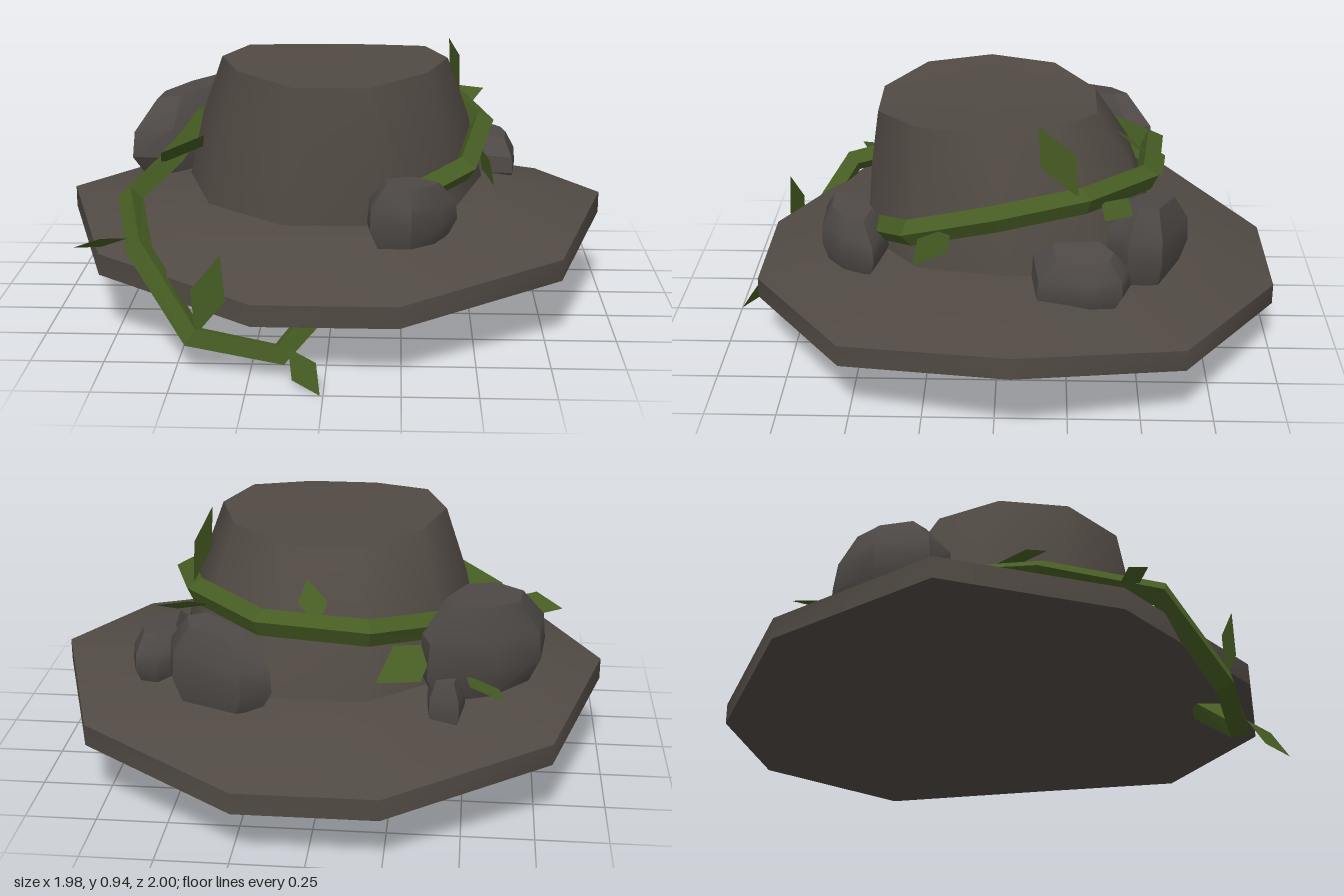
import * as THREE from 'three';
import { toCreasedNormals } from 'three/addons/utils/BufferGeometryUtils.js';
import { ConvexGeometry } from 'three/addons/geometries/ConvexGeometry.js';

const material = (name, color, extra = {}) => new THREE.MeshStandardMaterial({ name, color, ...extra });
const V = (p) => new THREE.Vector3(...p);

// Skin over ten-sided rings: [rx, rz, centreZ, y, droop, droopPower, pinch]
function ringSkin(rings, crease) {
  const N = 10, pos = [], index = [];
  for (const [rx, rz, cz, y, droop = 0, power = 1, pinch = 1] of rings) {
    for (let k = 0; k < N; k++) {
      const a = (k / N) * Math.PI * 2, c = Math.cos(a), s = Math.sin(a);
      pos.push(c * rx * (Math.abs(c) < 0.5 ? pinch : 1), y - droop * Math.abs(s) ** power, cz + s * rz);
    }
  }
  for (let r = 0; r < rings.length - 1; r++) {
    for (let k = 0; k < N; k++) {
      const a = r * N + k, b = r * N + (k + 1) % N;
      if (rings[r][0] > 0) index.push(a, a + N, b);
      if (rings[r + 1][0] > 0) index.push(b, a + N, b + N);
    }
  }
  const geo = new THREE.BufferGeometry();
  geo.setAttribute('position', new THREE.Float32BufferAttribute(pos, 3));
  geo.setIndex(index);
  return toCreasedNormals(geo, crease);
}

// Chipped stone: an outline in x,z, widest low down and narrowing to a tilted top
function stone(outline, y0, y1, tiltX = 0, tiltZ = 0) {
  const cx = outline.reduce((t, p) => t + p[0], 0) / outline.length;
  const cz = outline.reduce((t, p) => t + p[1], 0) / outline.length;
  const pts = [];
  for (const [level, size] of [[0, 0.8], [0.3, 1], [0.65, 0.96], [1, 0.6]]) {
    for (const [x, z] of outline) {
      const dx = (x - cx) * size, dz = (z - cz) * size;
      pts.push(V([cx + dx, y0 + (y1 - y0) * level + level * (dx * tiltX + dz * tiltZ), cz + dz]));
    }
  }
  return toCreasedNormals(new ConvexGeometry(pts), 0.6);
}

// Pointed leaf: a thin four-cornered blade, widest near its middle
function leaf(base, tip, side) {
  const b = V(base), t = V(tip), s = V(side);
  const m = b.clone().lerp(t, 0.5);
  const l = m.clone().add(s), r = m.clone().sub(s);
  const geo = new THREE.BufferGeometry().setFromPoints([b, l, t, b, t, r]);
  geo.computeVertexNormals();
  return geo;
}

export function createModel() {
  const group = new THREE.Group();
  const felt = material('hat brown', 0x514a44);
  const rock = material('stone grey', 0x4e4946);
  const vineGreen = material('vine green', 0x465c23, { flatShading: true });
  const leafGreen = material('leaf green', 0x465c23, { side: THREE.DoubleSide });
  const add = (name, geo, mat) => {
    const mesh = new THREE.Mesh(geo, mat);
    mesh.name = name;
    group.add(mesh);
  };

  // Brim, drooping to the front and back
  add('brim', ringSkin([
    [0, 0, -0.06, 0.305],
    [0.99, 0.99, -0.06, 0.305, 0.121, 1, 0.79],
    [0.99, 0.99, -0.06, 0.382, 0.123, 1, 0.79],
    [0.56, 0.56, -0.05, 0.445, 0.04],
    [0, 0, -0.05, 0.445],
  ], 0.7), felt);

  // Crown, leaning forward, with a shallow dip in the top
  add('crown', ringSkin([
    [0.55, 0.555, -0.05, 0.43, 0.04],
    [0.49, 0.49, -0.01, 0.69],
    [0.41, 0.41, 0.04, 0.912, 0.035, 4],
    [0, 0, 0.04, 0.888],
  ], 0.7), felt);

  // Stones resting on the brim
  add('largeStone', stone([[-0.78, -0.12], [-0.76, -0.32], [-0.6, -0.5], [-0.37, -0.59],
    [-0.34, -0.5], [-0.45, -0.22], [-0.62, -0.08]], 0.4, 0.72, 0.2, 0), rock);
  add('backStone', stone([[0.15, -0.63], [0.25, -0.68], [0.5, -0.57], [0.53, -0.45],
    [0.43, -0.38], [0.22, -0.52]], 0.38, 0.65, 0.1, 0.1), rock);
  add('sideStone', stone([[0.48, -0.38], [0.58, -0.46], [0.66, -0.43], [0.69, -0.32],
    [0.67, -0.14], [0.5, -0.12]], 0.38, 0.56, -0.2, 0), rock);
  add('frontStone', stone([[0.13, 0.53], [0.14, 0.63], [0.28, 0.63], [0.38, 0.55],
    [0.44, 0.43], [0.29, 0.39]], 0.37, 0.58, -0.15, 0), rock);
  add('smallStone', stone([[-0.48, -0.62], [-0.38, -0.6], [-0.37, -0.5], [-0.5, -0.5]], 0.33, 0.5), rock);

  // Vine winding round the crown and hanging off the front of the brim
  const path = new THREE.CatmullRomCurve3([
    [0.28, 0.5, 0.42], [0.47, 0.57, 0.3], [0.54, 0.66, 0], [0.45, 0.69, -0.3],
    [0.2, 0.67, -0.53], [-0.17, 0.66, -0.57], [-0.4, 0.64, -0.42], [-0.53, 0.62, -0.2],
    [-0.62, 0.5, -0.04], [-0.73, 0.43, 0.24], [-0.64, 0.36, 0.62], [-0.44, 0.12, 0.8],
    [-0.15, 0.075, 0.83], [0, 0.22, 0.7],
  ].map(V));
  path.getUtoTmapping = (u) => u;
  add('vine', new THREE.TubeGeometry(path, path.points.length - 1, 0.046, 4), vineGreen);

  // Leaves: base, tip, half-width vector
  [
    [[-0.12, 0.11, 0.86], [-0.01, 0.005, 1], [0.04, 0.035, 0.01]],
    [[-0.43, 0.13, 0.81], [-0.34, 0.42, 0.84], [0.06, -0.01, 0.02]],
    [[-0.69, 0.38, 0.56], [-0.88, 0.34, 0.545], [0.01, 0.03, 0.045]],
    [[-0.65, 0.5, 0.03], [-0.46, 0.66, 0.22], [0.07, 0, -0.05]],
    [[-0.4, 0.6, -0.5], [-0.2, 0.5, -0.62], [0.05, 0.03, 0.08]],
    [[-0.5, 0.5, -0.52], [-0.63, 0.46, -0.645], [0.05, 0.02, -0.04]],
    [[0, 0.67, -0.55], [0.05, 0.79, -0.42], [0.05, 0, -0.01]],
    [[0.47, 0.71, -0.28], [0.42, 0.95, -0.14], [0.02, 0.03, -0.06]],
    [[0.4, 0.66, -0.36], [0.57, 0.69, -0.46], [0.03, -0.03, 0.04]],
    [[0.52, 0.62, 0.15], [0.575, 0.5, 0.28], [0.01, 0.03, 0.05]],
  ].forEach((l, i) => add('leaf' + (i + 1), leaf(...l), leafGreen));

  return group;
}
